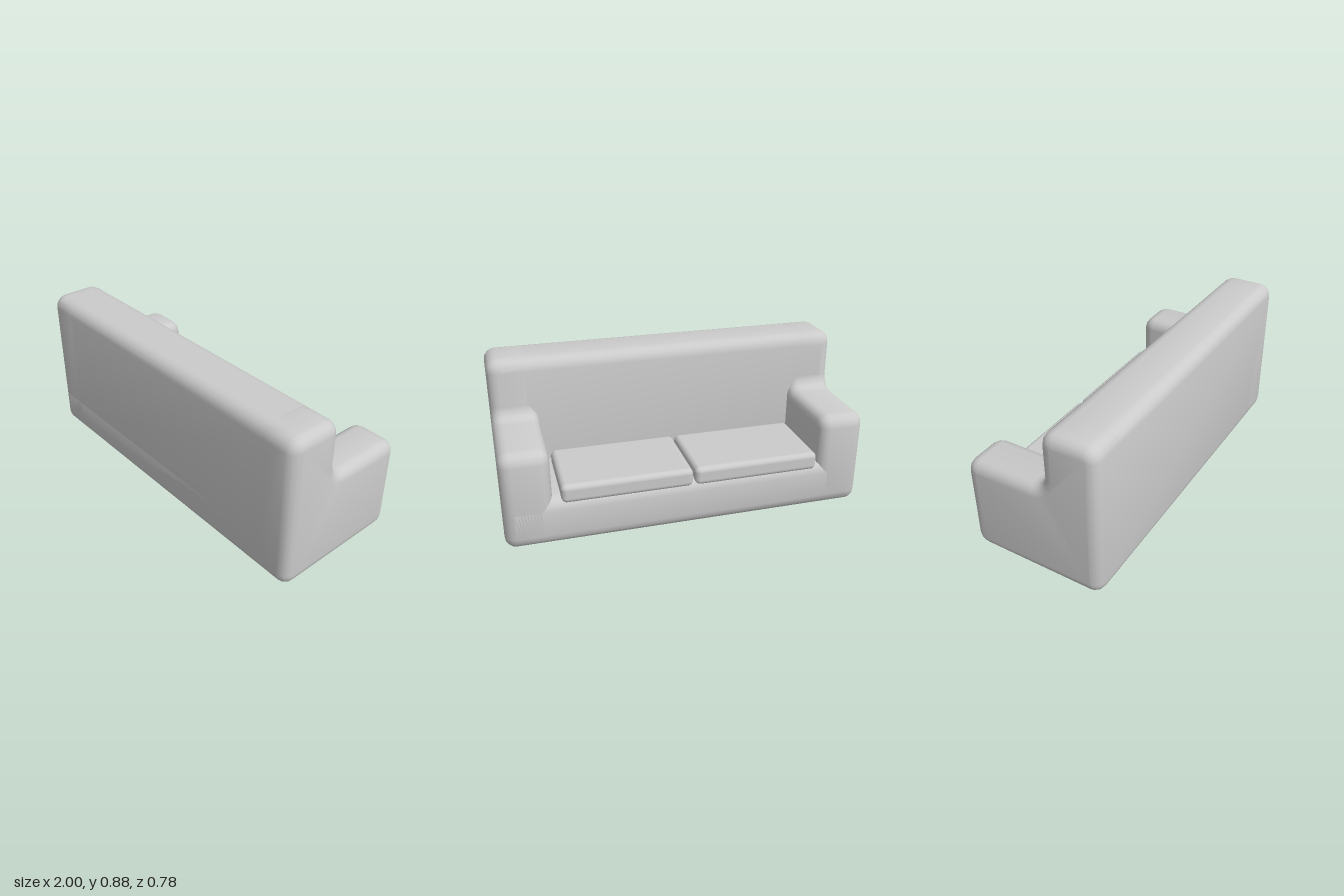
import * as THREE from 'three';
import { toCreasedNormals } from 'three/addons/utils/BufferGeometryUtils.js';
import { RoundedBoxGeometry } from 'three/addons/geometries/RoundedBoxGeometry.js';

const DEPTH = 0.388; // half depth
const BACK_Z = 0.08; // front plane of the backrest
const R = 0.07; // corner radius
const BEVEL = 0.06;
const ARM_INNER = 0.74;

// Closed polygon of [z, y] corners with every corner rounded
function roundedProfile(corners) {
  const shape = new THREE.Shape();
  const pts = corners.map(([z, y]) => new THREE.Vector2(-z, y));
  const n = pts.length;
  pts.forEach((p, i) => {
    const toward = (q, d) => p.clone().add(q.clone().sub(p).setLength(d));
    const prev = pts[(i + n - 1) % n], next = pts[(i + 1) % n];
    const a = toward(prev, R), b = toward(next, R);
    const c = toward(prev, R * 0.45), d = toward(next, R * 0.45);
    if (i === 0) shape.moveTo(a.x, a.y);
    else shape.lineTo(a.x, a.y);
    shape.bezierCurveTo(c.x, c.y, d.x, d.y, b.x, b.y);
  });
  shape.closePath();
  return shape;
}

// Sweep a side profile along x from x0 to x1
function sweep(corners, x0, x1, bevel) {
  const g = new THREE.ExtrudeGeometry(roundedProfile(corners), {
    depth: x1 - x0 - 2 * bevel,
    curveSegments: 4,
    bevelEnabled: bevel > 0,
    bevelThickness: bevel,
    bevelSize: bevel,
    bevelOffset: -bevel,
    bevelSegments: 4,
  });
  g.rotateY(Math.PI / 2);
  g.translate(x0 + bevel, 0, 0);
  return toCreasedNormals(g, 0.7);
}

export function createModel() {
  const sofa = new THREE.Group();
  sofa.name = 'sofa';
  const material = new THREE.MeshStandardMaterial({ color: 0xcccccc });
  const add = (name, geometry) => {
    const mesh = new THREE.Mesh(geometry, material);
    mesh.name = name;
    sofa.add(mesh);
    return mesh;
  };

  // L-shaped ends: armrest and end of the backrest in one piece
  const endProfile = [
    [-DEPTH, 0], [DEPTH, 0], [DEPTH, 0.88],
    [BACK_Z, 0.88], [BACK_Z, 0.55], [-DEPTH, 0.55],
  ];
  add('leftArm', sweep(endProfile, ARM_INNER, 1, BEVEL));
  add('rightArm', sweep(endProfile, -1, -ARM_INNER, BEVEL));

  // Backrest and seat base run between the ends
  const span = 1 - BEVEL;
  add('backrest', sweep([[BACK_Z, 0], [DEPTH, 0], [DEPTH, 0.88], [BACK_Z, 0.88]], -span, span, 0));
  add('seatBase', sweep([[-DEPTH, 0], [DEPTH, 0], [DEPTH, 0.28], [-DEPTH, 0.28]], -span, span, 0));

  // Two loose seat cushions
  for (const [name, x] of [['leftCushion', 0.342], ['rightCushion', -0.377]]) {
    const cushion = add(name, new RoundedBoxGeometry(0.71, 0.105, 0.455, 3, 0.03));
    cushion.position.set(x, 0.29, -0.156);
  }
  return sofa;
}
